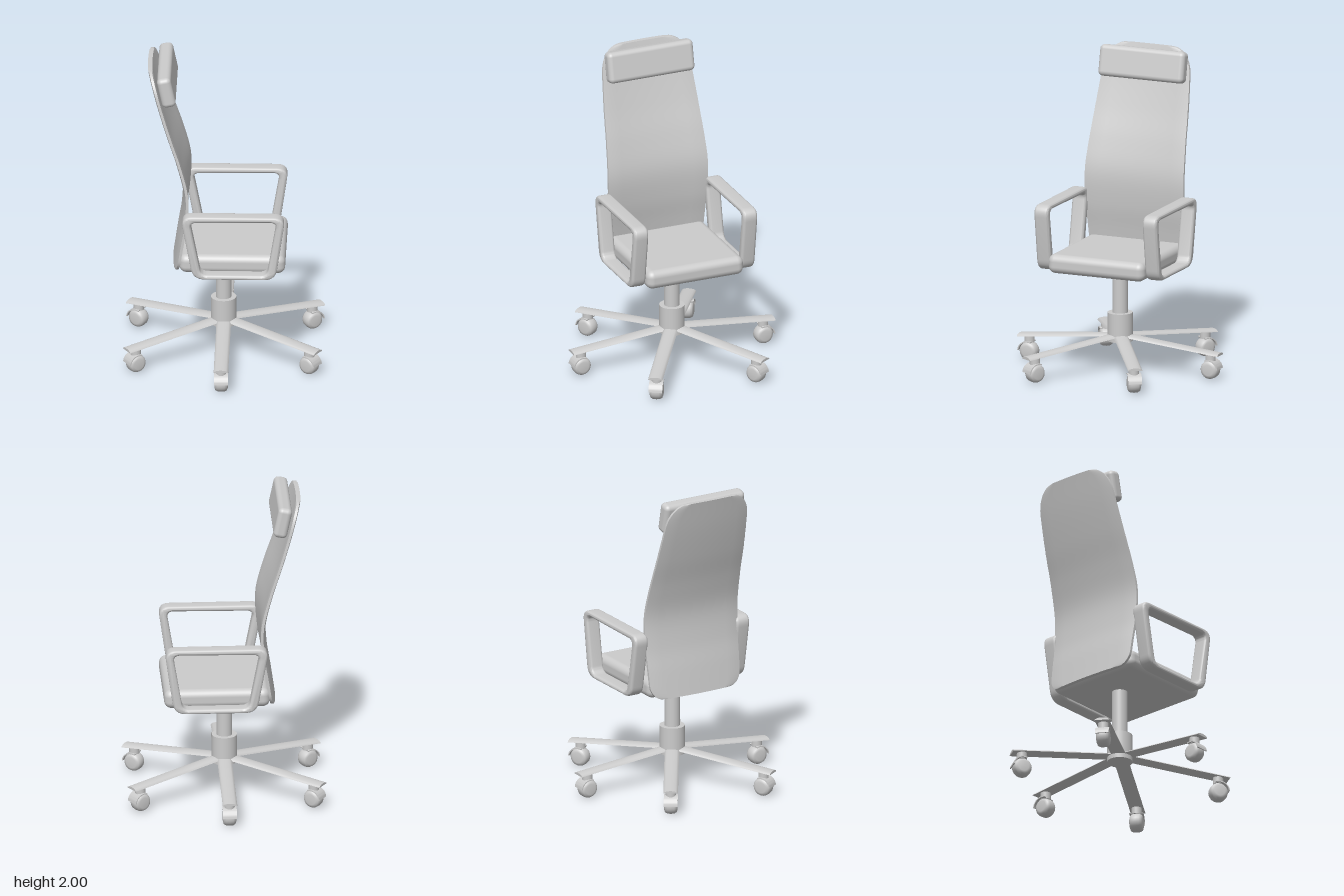
import * as THREE from 'three';
import { toCreasedNormals } from 'three/addons/utils/BufferGeometryUtils.js';
import { RoundedBoxGeometry } from 'three/addons/geometries/RoundedBoxGeometry.js';

const grey = new THREE.MeshStandardMaterial({ color: 0xcccccc, side: THREE.DoubleSide });

function add(parent, name, geometry, x = 0, y = 0, z = 0) {
  const mesh = new THREE.Mesh(geometry, grey);
  mesh.name = name;
  mesh.position.set(x, y, z);
  parent.add(mesh);
  return mesh;
}

// Skin a list of equal-length closed rings and cap both ends
function loft(rings, crease = 0.7) {
  const n = rings[0].length, pos = [], idx = [];
  rings.forEach(r => r.forEach(p => pos.push(...p)));
  for (let i = 0; i < rings.length - 1; i++) {
    for (let j = 0; j < n; j++) {
      const a = i * n + j, b = i * n + (j + 1) % n;
      idx.push(a, b, a + n, b, b + n, a + n);
    }
  }
  const last = (rings.length - 1) * n;
  // Caps zip across the section, from one half of the ring to the other
  for (let j = 0; j < n / 2 - 1; j++) {
    const a = j, b = j + 1, c = n - 2 - j, d = n - 1 - j;
    idx.push(a, d, b, b, d, c);
    idx.push(last + a, last + b, last + d, last + b, last + c, last + d);
  }
  const g = new THREE.BufferGeometry();
  g.setAttribute('position', new THREE.Float32BufferAttribute(pos, 3));
  g.setIndex(idx);
  return toCreasedNormals(g, crease);
}

// Trace a polygon with rounded corners onto a Shape or Path
function roundedPoly(path, corners, r) {
  const pts = corners.map(c => new THREE.Vector2(...c)), n = pts.length;
  pts.forEach((p, i) => {
    const toward = q => q.clone().sub(p).setLength(r).add(p);
    const a = toward(pts[(i + n - 1) % n]), b = toward(pts[(i + 1) % n]);
    if (i) path.lineTo(a.x, a.y); else path.moveTo(a.x, a.y);
    path.quadraticCurveTo(p.x, p.y, b.x, b.y);
  });
  path.closePath();
  return path;
}

// Tall S-curved back panel with rounded corners, slightly dished
function backrestGeometry() {
  const spine = new THREE.CatmullRomCurve3([
    [-0.3, 0.67], [-0.275, 0.84], [-0.25, 1.0], [-0.243, 1.2], [-0.288, 1.4],
    [-0.352, 1.6], [-0.41, 1.8], [-0.46, 2.0]
  ].map(([x, y]) => new THREE.Vector3(x, y, 0)));
  const width = new THREE.CatmullRomCurve3([
    [0.325, 0.67], [0.335, 0.95], [0.34, 1.2], [0.328, 1.45], [0.303, 1.8], [0.285, 2.0]
  ].map(([w, y]) => new THREE.Vector3(w, y, 0)));
  const widthPts = width.getPoints(80);
  const widthAt = y => (widthPts.find(p => p.y >= y - 1e-4) ?? widthPts[80]).x;
  const corner = (d, ry, rz) => d >= ry ? 0 : rz * (1 - Math.sqrt(1 - (1 - d / ry) ** 2));
  const rings = [];
  const m = 14, half = 0.014, rows = 56;
  for (let i = 0; i <= rows; i++) {
    const t = (1 - Math.cos(Math.PI * i / rows)) / 2;
    const p = spine.getPoint(t);
    const w = widthAt(p.y) - corner(2.0 - p.y, 0.15, 0.12) - corner(p.y - 0.67, 0.09, 0.08);
    const ring = [];
    for (const side of [1, -1]) {
      for (let j = 0; j <= m; j++) {
        const z = side * w * (1 - 2 * j / m);
        const edge = j === 0 || j === m ? 0.6 : 1;
        ring.push([p.x - 0.008 + 0.022 * (z / 0.34) ** 2 + side * half * edge, p.y, z]);
      }
    }
    rings.push(ring);
  }
  return loft(rings);
}

// Closed armrest hoop
function armGeometry() {
  const shape = roundedPoly(new THREE.Shape(),
    [[-0.19, 0.67], [0.33, 0.67], [0.392, 1.1], [-0.268, 1.1]], 0.075);
  shape.holes.push(roundedPoly(new THREE.Path(),
    [[-0.14, 0.7], [-0.21, 1.062], [0.338, 1.068], [0.277, 0.7]], 0.045));
  const g = new THREE.ExtrudeGeometry(shape, {
    depth: 0.059, bevelThickness: 0.018, bevelSize: 0.015, bevelOffset: -0.015,
    bevelSegments: 5, curveSegments: 10
  });
  g.translate(0, 0, -0.0295);
  return toCreasedNormals(g, 0.8);
}

// Thin domed spoke sloping down from the hub along +x
function spokeGeometry(length) {
  const section = (x, y) => {
    const ring = [];
    for (let j = 0; j <= 8; j++) {
      const a = Math.PI * j / 8;
      ring.push([x, y + 0.017 * Math.sin(a), 0.046 * Math.cos(a)]);
    }
    for (let j = 0; j <= 8; j++) ring.push([x, y, -0.046 + 0.092 * j / 8]);
    return ring;
  };
  return loft([section(0, 0.222), section(length, 0.155)]);
}

// Wheel, stem and outer hood
function addCaster(parent, r) {
  const caster = new THREE.Group();
  caster.name = 'caster';
  caster.position.set(r, 0.061, 0);
  parent.add(caster);
  const profile = [[0, -0.042], [0.034, -0.042], [0.05, -0.036], [0.058, -0.022], [0.06, 0],
    [0.058, 0.022], [0.05, 0.036], [0.034, 0.042], [0, 0.042]].map(p => new THREE.Vector2(...p));
  const wheel = new THREE.LatheGeometry(profile, 28);
  wheel.rotateX(Math.PI / 2);
  add(caster, 'wheel', wheel);
  const arc = new THREE.Shape();
  arc.absarc(0, 0, 0.066, 0.1, 1.95, false);
  arc.absarc(0, 0, 0.059, 1.95, 0.1, true);
  const hood = new THREE.ExtrudeGeometry(arc, { depth: 0.088, bevelEnabled: false, curveSegments: 14 });
  hood.translate(0, 0, -0.044);
  add(caster, 'casterHood', toCreasedNormals(hood, 0.6));
  add(caster, 'casterStem', new THREE.CylinderGeometry(0.033, 0.033, 0.045, 20), 0, 0.078, 0);
}

export function createModel() {
  const chair = new THREE.Group();
  chair.name = 'officeChair';

  // Seat, back and head cushion
  add(chair, 'seat', new RoundedBoxGeometry(0.665, 0.122, 0.66, 5, 0.045), 0.055, 0.731, 0);
  add(chair, 'backrest', backrestGeometry());
  const pillow = add(chair, 'headrest', new RoundedBoxGeometry(0.088, 0.2, 0.585, 5, 0.03), -0.36, 1.895, 0);
  pillow.rotation.z = 0.21;

  // Armrests
  const arm = armGeometry();
  for (const side of [1, -1]) add(chair, side > 0 ? 'leftArmrest' : 'rightArmrest', arm, 0, 0, side * 0.373);

  // Column and hub
  add(chair, 'column', new THREE.CylinderGeometry(0.049, 0.049, 0.34, 32), -0.007, 0.52, 0);
  add(chair, 'hub', new THREE.CylinderGeometry(0.08, 0.08, 0.183, 32), -0.007, 0.278, 0);

  // Six-spoke base with casters
  for (const deg of [32, 90, 148, 212, 270, 328]) {
    const leg = new THREE.Group();
    leg.name = 'baseLeg';
    leg.position.x = -0.005;
    leg.rotation.y = THREE.MathUtils.degToRad(deg);
    const length = deg % 90 ? 0.71 : 0.69;
    add(leg, 'spoke', spokeGeometry(length));
    addCaster(leg, length - 0.067);
    chair.add(leg);
  }
  return chair;
}
